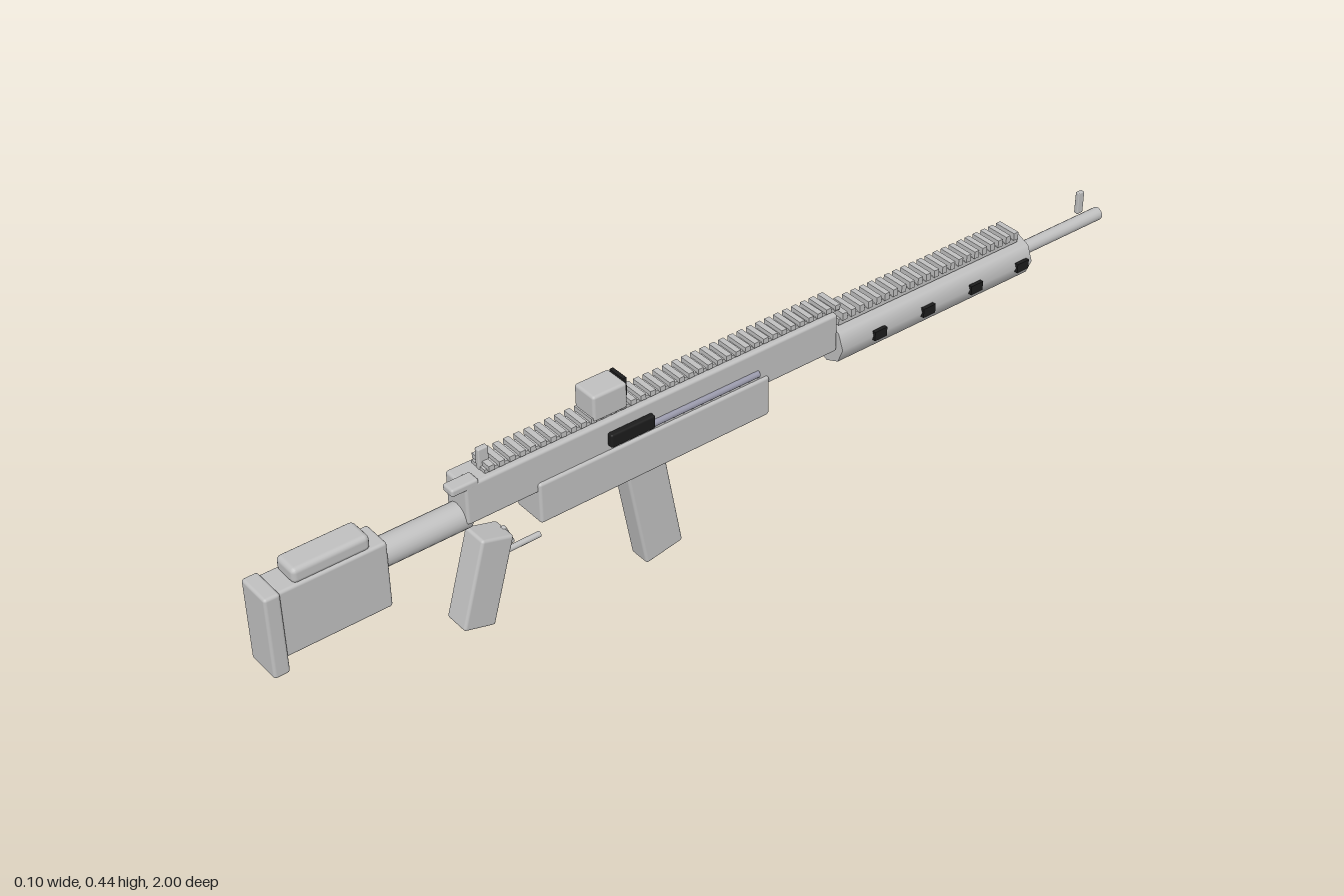
import * as THREE from 'three';
import { RoundedBoxGeometry } from 'three/addons/geometries/RoundedBoxGeometry.js';

const mat = (name, color) => {
  const m = new THREE.MeshStandardMaterial({ color });
  m.name = name;
  return m;
};

export function createModel() {
  const group = new THREE.Group();
  const grey = mat('light grey', 0xc0c0c0);
  const black = mat('black', 0x1c1c1c);
  const steel = mat('blue grey steel', 0x9a9aac);

  const add = (name, geometry, material, x, y, z, tilt = 0) => {
    const mesh = new THREE.Mesh(geometry, material);
    mesh.name = name;
    mesh.position.set(x, y, z);
    mesh.rotation.x = tilt;
    group.add(mesh);
    return mesh;
  };
  // Softened box given by its extents in y and z
  const block = (name, width, y0, y1, z0, z1, material = grey, x = 0, radius = 0.006) =>
    add(name, new RoundedBoxGeometry(width, y1 - y0, z1 - z0, 2, radius), material,
      x, (y0 + y1) / 2, (z0 + z1) / 2);
  // Tube lying along z
  const rod = (name, r, y, z0, z1, sides, material = grey, x = 0) => {
    const g = new THREE.CylinderGeometry(r, r, z1 - z0, sides).rotateX(Math.PI / 2);
    return add(name, g, material, x, y, (z0 + z1) / 2);
  };
  // Accessory rail: base strip with evenly spaced teeth
  const rail = (name, y0, y1, z0, z1, count) => {
    const mid = (y0 + y1) / 2, pitch = (z1 - z0) / count;
    add(name + 'Base', new THREE.BoxGeometry(0.04, mid - y0, z1 - z0), grey, 0, (y0 + mid) / 2, (z0 + z1) / 2);
    const tooth = new THREE.BoxGeometry(0.052, y1 - mid + 0.002, pitch * 0.55);
    for (let i = 0; i < count; i++) {
      add(name + 'Tooth', tooth, grey, 0, (mid + y1) / 2 - 0.001, z0 + (i + 0.5) * pitch);
    }
  };

  // Stock
  block('buttPad', 0.076, 0.173, 0.347, 0.968, 1);
  block('stock', 0.064, 0.202, 0.344, 0.756, 0.972);
  block('cheekRest', 0.057, 0.34, 0.372, 0.785, 0.938, grey, 0, 0.01);
  rod('bufferTube', 0.028, 0.3, 0.58, 0.77, 24);

  // Receiver
  block('upperReceiver', 0.064, 0.296, 0.381, -0.257, 0.594);
  block('lowerReceiver', 0.076, 0.229, 0.317, -0.085, 0.445);
  block('chargingHandle', 0.03, 0.371, 0.387, 0.565, 0.622, grey, 0.017, 0.005);
  block('boltHandle', 0.014, 0.328, 0.357, 0.19, 0.29, black, 0.038, 0.004);
  for (const s of [-1, 1]) rod('sideRod', 0.007, 0.331, -0.06, 0.2, 12, steel, s * 0.033);

  // Rails
  rail('receiverRail', 0.379, 0.397, -0.272, 0.545, 37);
  rail('handguardRail', 0.343, 0.371, -0.745, -0.27, 22);

  // Handguard with vents, and barrel
  rod('handguard', 0.045, 0.302, -0.765, -0.26, 8);
  for (const z of [-0.355, -0.482, -0.61, -0.737]) {
    for (const s of [-1, 1]) {
      add('vent', new THREE.BoxGeometry(0.009, 0.02, 0.031), black, s * 0.0445, 0.302, z);
    }
  }
  rod('barrel', 0.014, 0.302, -1, -0.75, 16);

  // Sights
  block('frontSight', 0.01, 0.327, 0.376, -0.949, -0.933, grey, 0, 0.002);
  block('rearSight', 0.012, 0.38, 0.424, 0.525, 0.547, grey, 0, 0.003);
  block('opticBody', 0.058, 0.388, 0.443, 0.24, 0.316);
  add('opticLens', new THREE.BoxGeometry(0.04, 0.038, 0.008), black, 0, 0.428, 0.239);

  // Magazine, grip and trigger
  add('magazine', new RoundedBoxGeometry(0.048, 0.25, 0.088, 2, 0.006), grey, 0, 0.133, 0.18, 0.175);
  add('grip', new RoundedBoxGeometry(0.057, 0.19, 0.07, 2, 0.006), grey, 0, 0.144, 0.557, -0.278);
  rod('triggerGuard', 0.006, 0.174, 0.425, 0.53, 10);
  add('trigger', new RoundedBoxGeometry(0.01, 0.045, 0.011, 2, 0.002), grey, 0, 0.208, 0.495, 0.4);

  return group;
}
